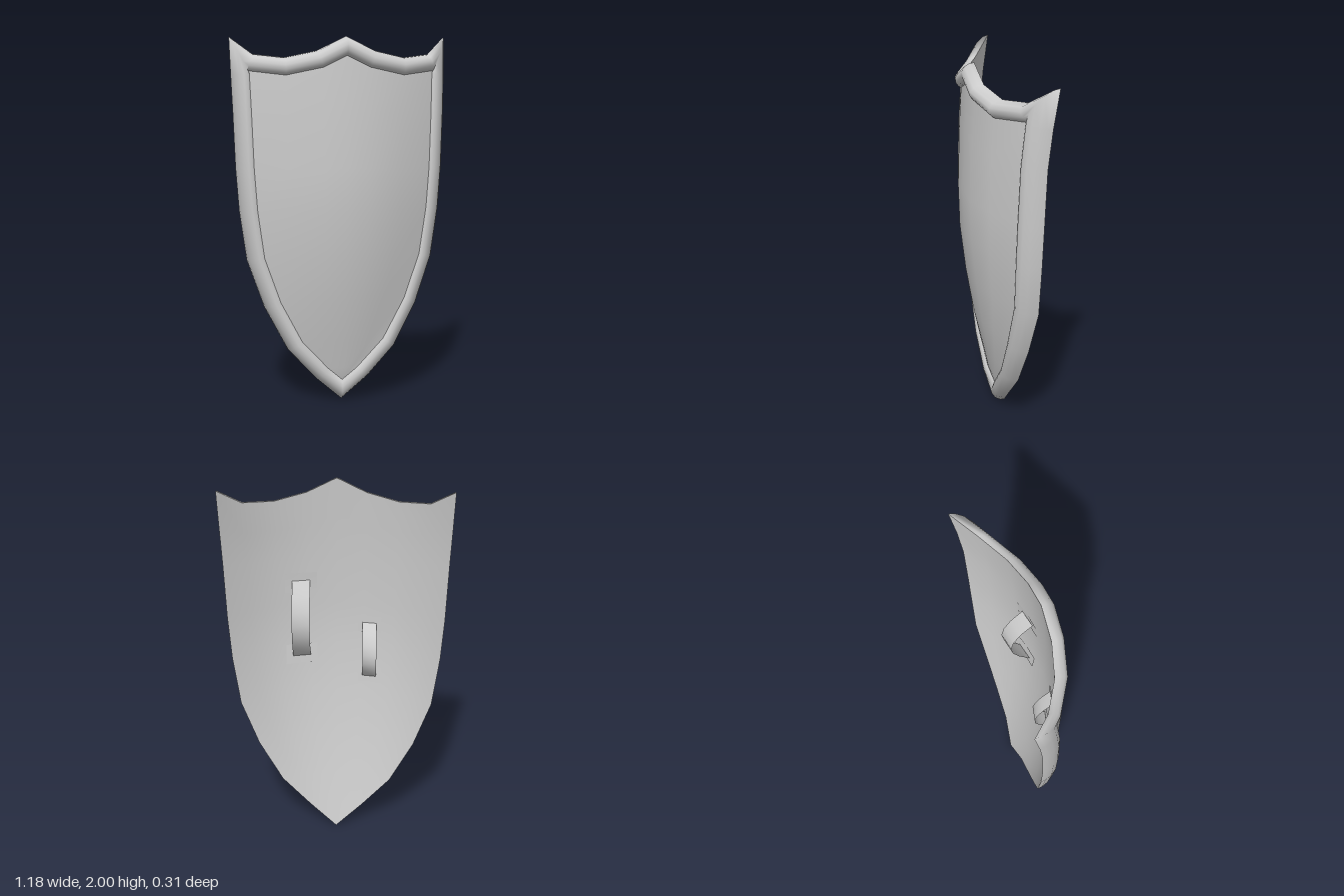
import * as THREE from 'three';
import { mergeVertices } from 'three/addons/utils/BufferGeometryUtils.js';

// Right half of the outline: top centre -> corner -> down the side -> tip
const OUTLINE = [
  [0, 2], [0.155, 1.925], [0.32, 1.89], [0.475, 1.908], [0.59, 2],
  [0.585, 1.8], [0.578, 1.6], [0.568, 1.3], [0.552, 1.07], [0.515, 0.8],
  [0.425, 0.54], [0.3, 0.3], [0.145, 0.13], [0, 0],
];
const CORNER = 4, LAST = OUTLINE.length - 1;

// Back surface depth along the centre line and along the side edge, as [y, z]
const CENTRE = [[0, -0.08], [0.13, -0.052], [0.2, -0.03], [0.4, 0.01], [0.6, 0.055],
  [0.84, 0.092], [1.07, 0.118], [1.4, 0.126], [1.85, 0.1], [2, 0.088]];
const EDGE = [[0, -0.08], [0.13, -0.06], [0.3, -0.065], [0.54, -0.08], [0.8, -0.1],
  [1.2, -0.1], [1.6, -0.11], [1.8, -0.13], [2, -0.16]];
const WIDTH = OUTLINE.slice(CORNER).reverse().map(([x, y]) => [y, x]);

function lookUp(table, y) {
  for (let i = 1; i < table.length; i++) {
    const [y0, a] = table[i - 1], [y1, b] = table[i];
    if (y <= y1) return a + (b - a) * Math.max(0, (y - y0) / (y1 - y0));
  }
  return table[table.length - 1][1];
}

// Curved back of the shield
function depth(x, y) {
  const w = lookUp(WIDTH, y);
  const f = w > 1e-4 ? Math.min(1, Math.abs(x) / w) : 1;
  const c = lookUp(CENTRE, y);
  return c + (lookUp(EDGE, y) - c) * Math.pow(f, 2.3);
}

// Half outline moved inwards by a distance, with mitred corners
function inset(d) {
  const mirror = ([x, y]) => [-x, y];
  return OUTLINE.map((p, i) => {
    const a = i ? OUTLINE[i - 1] : mirror(OUTLINE[1]);
    const b = i < LAST ? OUTLINE[i + 1] : mirror(OUTLINE[LAST - 1]);
    const normal = (s, e) => {
      const l = Math.hypot(e[0] - s[0], e[1] - s[1]);
      return [(e[1] - s[1]) / l, -(e[0] - s[0]) / l];
    };
    const n = normal(a, p), m = normal(p, b);
    const k = d / (1 + n[0] * m[0] + n[1] * m[1]);
    return [p[0] + (n[0] + m[0]) * k, p[1] + (n[1] + m[1]) * k];
  });
}

// Smooth surface through a grid of points
function surface(nu, nv, point, flip = false) {
  const pos = [], index = [];
  for (let j = 0; j <= nv; j++) for (let i = 0; i <= nu; i++) pos.push(...point(i, j));
  for (let j = 0; j < nv; j++) for (let i = 0; i < nu; i++) {
    const a = j * (nu + 1) + i, b = a + 1, c = a + nu + 1, d = c + 1;
    if (flip) index.push(a, b, c, b, d, c);
    else index.push(a, c, b, b, c, d);
  }
  let g = new THREE.BufferGeometry();
  g.setAttribute('position', new THREE.Float32BufferAttribute(pos, 3));
  g.setIndex(index);
  g = mergeVertices(g, 1e-5);
  g.computeVertexNormals();
  return g;
}

// Fills a half outline, mirrored, with the dip of the top fading downwards
function fill(half, lift, flip) {
  return surface(CORNER * 2, LAST - CORNER, (i, j) => {
    const s = i - CORNER;
    const top = half[Math.abs(s)], corner = half[CORNER], side = half[CORNER + j];
    const fade = Math.max(0, 1 - (corner[1] - side[1]) / 0.6);
    const x = Math.sign(s) * (top[0] / corner[0]) * side[0];
    const y = side[1] + (top[1] - corner[1]) * fade;
    return [x, y, depth(x, y) + lift];
  }, flip);
}

export function createModel() {
  const shield = new THREE.Group();
  shield.name = 'shield';
  const solid = new THREE.MeshStandardMaterial({ color: 0xcccccc });
  const thin = new THREE.MeshStandardMaterial({ color: 0xcccccc, side: THREE.DoubleSide });
  const add = (name, geometry, material, parent = shield) => {
    const mesh = new THREE.Mesh(geometry, material);
    mesh.name = name;
    parent.add(mesh);
  };

  // Body: back sheet and front panel
  add('backSheet', fill(inset(0), 0, true), solid);
  add('frontPanel', fill(inset(0.09), 0.03, false), solid);

  // Rounded rim: [inset, height above the back]
  const profile = [[0, 0], [0.003, 0.025], [0.016, 0.05], [0.038, 0.063],
    [0.062, 0.059], [0.08, 0.045], [0.09, 0.03]];
  const rings = profile.map(([d]) => inset(d));
  add('rim', surface(LAST * 2, profile.length - 1, (i, j) => {
    const [px, y] = rings[j][i <= LAST ? i : LAST * 2 - i];
    const x = i <= LAST ? px : -px;
    return [x, y, depth(x, y) + profile[j][1]];
  }), solid);

  // Handles on the back: a bowed strap between two plates
  const handles = [
    { name: 'armStrap', x: 0.19, width: 0.095, low: 0.96, high: 1.48, bow: 0.115, plate: [0.17, 0.11] },
    { name: 'handGrip', x: -0.178, width: 0.075, low: 0.85, high: 1.23, bow: 0.09, plate: [0.125, 0.09] },
  ];
  for (const h of handles) {
    const group = new THREE.Group();
    group.name = h.name;
    shield.add(group);
    const [pw, ph] = h.plate;
    for (const [name, y0] of [['upperPlate', h.high], ['lowerPlate', h.low + ph]]) {
      add(name, surface(2, 2, (i, j) => {
        const x = h.x + (i / 2 - 0.5) * pw, y = y0 - (j / 2) * ph;
        return [x, y, depth(x, y) - 0.008];
      }, true), thin, group);
    }
    const top = h.high - ph * 0.4, bottom = h.low + ph * 0.4;
    add('strap', surface(1, 6, (i, j) => {
      const x = h.x + (i - 0.5) * h.width, y = top + (bottom - top) * (j / 6);
      const bow = h.bow * Math.pow(Math.max(0, Math.sin(Math.PI * j / 6)), 0.8);
      return [x, y, depth(x, y) - 0.01 - bow];
    }, true), thin, group);
  }
  return shield;
}
